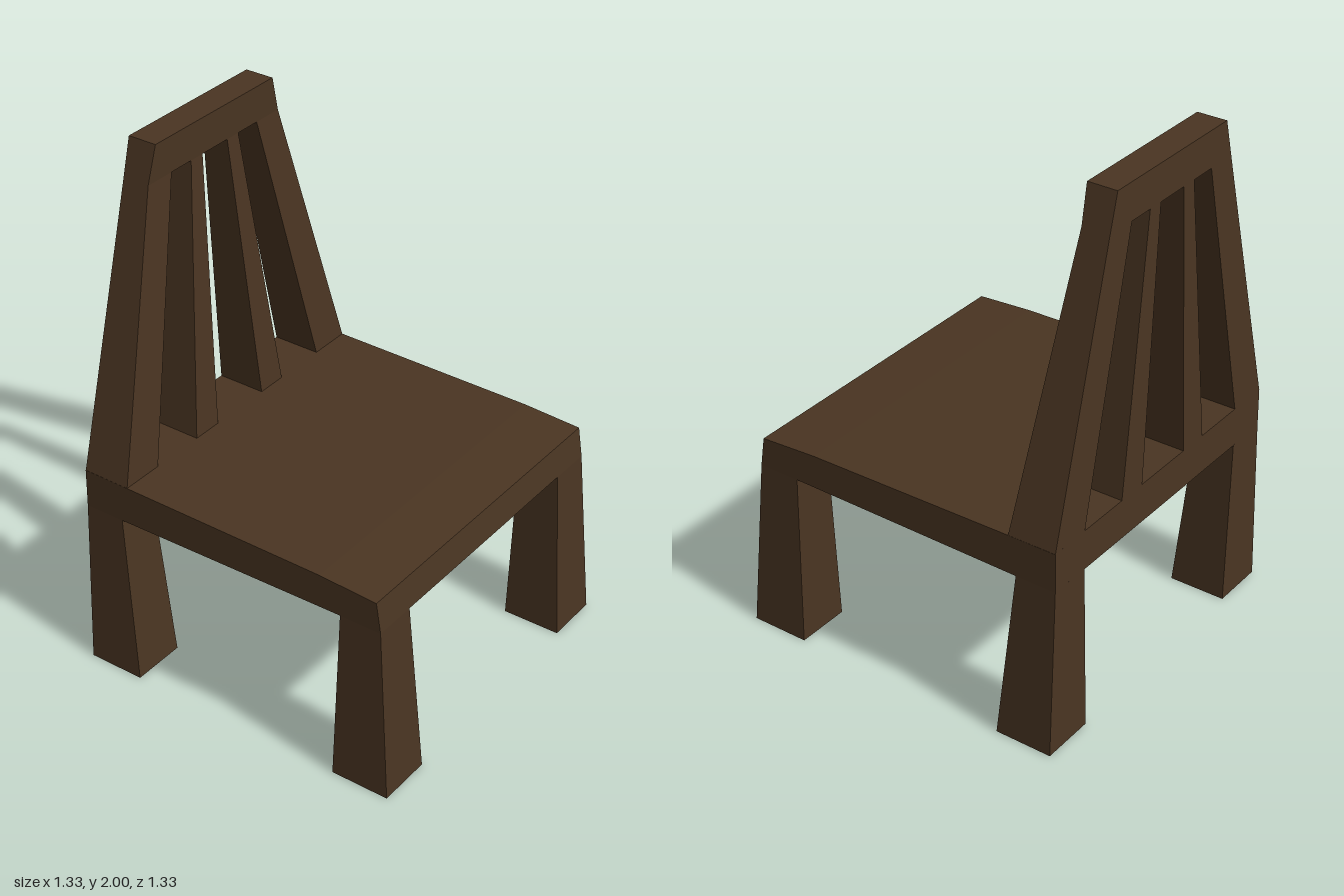
import * as THREE from 'three';

const wood = new THREE.MeshStandardMaterial({ color: 0x4a3522, flatShading: true });

// Tapered block between two rectangles [x0, x1, z0, z1] at heights y0 and y1
function taper(name, y0, bottom, y1, top) {
  const geo = new THREE.BoxGeometry(1, 1, 1);
  const p = geo.attributes.position;
  for (let i = 0; i < p.count; i++) {
    const r = p.getY(i) < 0 ? bottom : top;
    p.setXYZ(i, p.getX(i) < 0 ? r[0] : r[1], p.getY(i) < 0 ? y0 : y1, p.getZ(i) < 0 ? r[2] : r[3]);
  }
  geo.computeVertexNormals();
  const mesh = new THREE.Mesh(geo, wood);
  mesh.name = name;
  return mesh;
}

const mirror = ([x0, x1, z0, z1]) => [x0, x1, -z1, -z0];

export function createModel() {
  const chair = new THREE.Group();
  chair.name = 'chair';

  // Seat: side profile extruded across the width
  const profile = [[-0.662, 0.667], [0.445, 0.68], [0.61, 0.68], [0.592, 0.797],
    [0.36, 0.81], [-0.47, 0.819], [-0.66, 0.82]].map(([x, y]) => new THREE.Vector2(x, y));
  const seatGeo = new THREE.ExtrudeGeometry(new THREE.Shape(profile), { depth: 1.28, bevelEnabled: false });
  seatGeo.translate(0, 0, -0.64);
  const seat = new THREE.Mesh(seatGeo, wood);
  seat.name = 'seat';
  chair.add(seat);

  // Parts that come in mirrored pairs
  const pairs = [
    ['frontLeg', 0, [0.43, 0.66, 0.45, 0.665], 0.68, [0.445, 0.61, 0.472, 0.64]],
    ['backLeg', 0, [-0.665, -0.44, 0.45, 0.665], 0.669, [-0.662, -0.502, 0.472, 0.64]],
    ['backPost', 0.817, [-0.66, -0.47, 0.472, 0.64], 1.86, [-0.655, -0.548, 0.235, 0.358]],
    ['backSlat', 0.817, [-0.66, -0.47, 0.13, 0.253], 1.86, [-0.655, -0.548, 0.068, 0.13]],
  ];
  for (const [name, y0, bottom, y1, top] of pairs) {
    chair.add(taper(name + 'Near', y0, bottom, y1, top));
    chair.add(taper(name + 'Far', y0, mirror(bottom), y1, mirror(top)));
  }

  // Rail across the top of the back
  chair.add(taper('topRail', 1.86, [-0.655, -0.548, -0.358, 0.358], 2, [-0.655, -0.54, -0.32, 0.32]));
  return chair;
}
